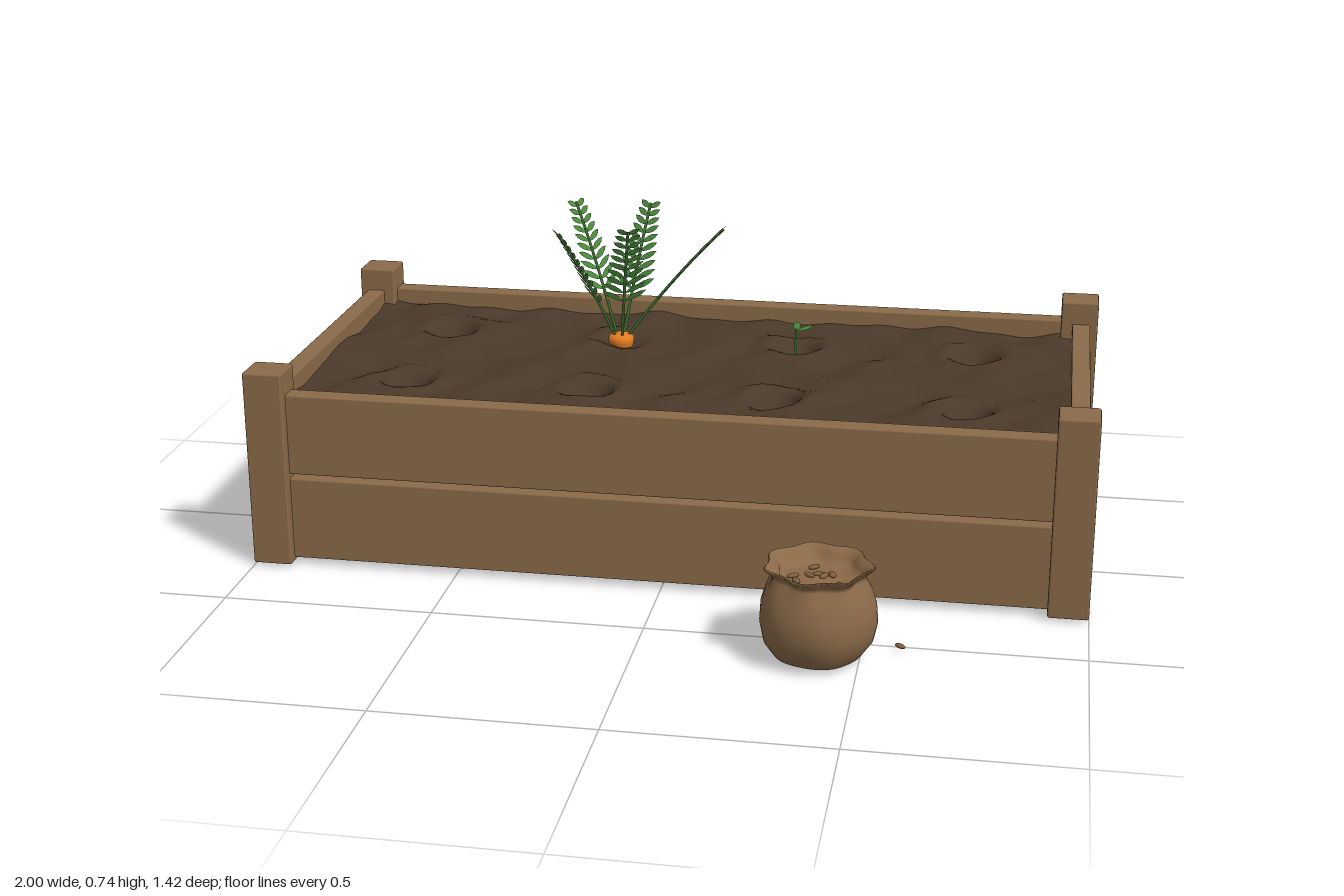
import * as THREE from 'three';
import { mergeGeometries, mergeVertices } from 'three/addons/utils/BufferGeometryUtils.js';
import { RoundedBoxGeometry } from 'three/addons/geometries/RoundedBoxGeometry.js';

const flat = (name, color, side = THREE.FrontSide) => {
  const m = new THREE.MeshStandardMaterial({ color, side });
  m.name = name;
  return m;
};

const V = (x, y, z) => new THREE.Vector3(x, y, z);
const COLS = [-0.69, -0.23, 0.23, 0.69];
const ROWS = [-0.42, 0];
const SOIL_Y = 0.395;

// Lumpy soil height with a rimmed planting hole at each grid spot
function soilHeight(x, z) {
  let y = SOIL_Y
    + 0.006 * Math.sin(9 * x + 3 * Math.sin(5 * z)) * Math.cos(8 * z + 1)
    + 0.004 * Math.sin(23 * x + 11 * z) + 0.003 * Math.sin(31 * z - 17 * x)
    + 0.003 * Math.cos(41 * x + 2 * Math.sin(19 * z));
  for (const hx of COLS) for (const hz of ROWS) {
    const d = Math.hypot(x - hx, z - hz);
    const planted = hx === -0.23 && hz === -0.42;
    y -= (planted ? 0.01 : 0.045) * Math.exp(-((d / 0.05) ** 4));
    y += 0.008 * Math.exp(-(((d - 0.085) / 0.025) ** 2));
  }
  return y;
}

// Pointed leaflet lying in XY, base at the origin and tip along +x
function leafletGeometry(length, width) {
  const s = new THREE.Shape();
  s.moveTo(0, 0);
  s.quadraticCurveTo(length * 0.55, width, length, 0);
  s.quadraticCurveTo(length * 0.55, -width, 0, 0);
  return new THREE.ShapeGeometry(s, 4);
}

// Stem tube plus paired leaflets from base to tip
function makeFrond(base, tip, leafMat, stemMat) {
  const frond = new THREE.Group();
  frond.name = 'frond';
  const mid = base.clone().lerp(tip, 0.5).add(V(0, 0.025, 0));
  const curve = new THREE.QuadraticBezierCurve3(base, mid, tip);
  const stem = new THREE.Mesh(new THREE.TubeGeometry(curve, 10, 0.004, 5), stemMat);
  stem.name = 'frondStem';
  const out = V(tip.x - base.x, 0, tip.z - base.z).normalize();
  const across = V(-out.z, 0, out.x);
  const leaves = [];
  const pairs = 10;
  for (let i = 0; i < pairs; i++) {
    const t = 0.32 + 0.64 * i / (pairs - 1);
    const p = curve.getPoint(t);
    const tan = curve.getTangent(t);
    const length = 0.068 - 0.034 * i / (pairs - 1);
    for (const s of [1, -1]) {
      const dir = across.clone().multiplyScalar(0.84 * s).addScaledVector(tan, 0.54).normalize();
      const normal = V(0, 0, 0).crossVectors(tan, across).normalize();
      const side = V(0, 0, 0).crossVectors(normal, dir);
      const m = new THREE.Matrix4().makeBasis(dir, side, normal).setPosition(p);
      leaves.push(leafletGeometry(length, 0.016).applyMatrix4(m));
    }
  }
  const leafMesh = new THREE.Mesh(mergeGeometries(leaves), leafMat);
  leafMesh.name = 'frondLeaflets';
  frond.add(stem, leafMesh);
  return frond;
}

export function createModel() {
  const model = new THREE.Group();
  model.name = 'raisedGardenBed';
  const wood = flat('wood', 0x8b6b4a);
  const soilMat = flat('soil', 0x4a3a2a, THREE.DoubleSide);
  const leafMat = flat('leaf', 0x4a8a3c, THREE.DoubleSide);
  const stemMat = flat('stem', 0x3d7030);
  const orange = flat('carrotOrange', 0xe67e22);
  const cloth = flat('sackCloth', 0x8b6a48, THREE.DoubleSide);
  const seedMat = flat('seed', 0x80603e);

  const add = (name, geo, mat, x = 0, y = 0, z = 0, parent = model) => {
    const mesh = new THREE.Mesh(geo, mat);
    mesh.name = name;
    mesh.position.set(x, y, z);
    parent.add(mesh);
    return mesh;
  };

  // Corner posts and two courses of boards
  for (const x of [-0.9525, 0.9525]) for (const z of [-0.665, 0.258]) {
    add('cornerPost', new RoundedBoxGeometry(0.095, 0.485, 0.095, 1, 0.005), wood, x, 0.2525, z);
  }
  for (const [y, h] of [[0.122, 0.205], [0.336, 0.2]]) {
    add('frontBoard', new RoundedBoxGeometry(1.83, h, 0.05, 1, 0.004), wood, 0, y, 0.254);
    add('backBoard', new RoundedBoxGeometry(1.83, h, 0.05, 1, 0.004), wood, 0, y, -0.67);
    for (const s of [1, -1]) {
      add('sideBoard', new RoundedBoxGeometry(0.046, h, 0.85, 1, 0.004), wood, s * 0.957, y, -0.205);
    }
  }

  // Soil sheet
  const soil = new THREE.PlaneGeometry(1.87, 0.885, 130, 64).rotateX(-Math.PI / 2).translate(0, 0, -0.208);
  const sp = soil.attributes.position;
  for (let i = 0; i < sp.count; i++) sp.setY(i, soilHeight(sp.getX(i), sp.getZ(i)));
  soil.computeVertexNormals();
  add('soil', soil, soilMat);

  // Carrot with its crown of fronds
  const plant = new THREE.Group();
  plant.name = 'carrotPlant';
  plant.position.set(-0.23, 0, -0.42);
  model.add(plant);
  const root = [[0, 0.275], [0.008, 0.29], [0.022, 0.345], [0.034, 0.39], [0.034, 0.403], [0.024, 0.411], [0, 0.412]];
  add('carrotRoot', new THREE.LatheGeometry(root.map(p => new THREE.Vector2(...p)), 16), orange, 0, 0, 0, plant);
  const reach = [[0.27, 0.705], [0.165, 0.725], [0.17, 0.735], [0.175, 0.7], [0.165, 0.73]];
  reach.forEach(([r, y], i) => {
    const a = i * Math.PI * 2 / 5, c = Math.cos(a), s = -Math.sin(a);
    plant.add(makeFrond(V(0.014 * c, 0.4, 0.014 * s), V(r * c, y, r * s), leafMat, stemMat));
  });

  // Young sprout
  const sprout = new THREE.Group();
  sprout.name = 'sprout';
  sprout.position.set(0.23, 0, -0.425);
  model.add(sprout);
  add('sproutStem', new THREE.CylinderGeometry(0.003, 0.004, 0.1, 6), stemMat, 0, 0.395, 0, sprout);
  for (const [turn, lift, len] of [[0, 0.35, 0.05], [Math.PI, 0.45, 0.046], [1.3, 1.1, 0.025]]) {
    const leaf = leafletGeometry(len, 0.02).rotateX(-Math.PI / 2 + 0.3).rotateZ(lift).rotateY(turn);
    add('sproutLeaf', leaf, leafMat, 0, 0.44, 0, sprout);
  }

  // Seed sack: turned profile, with soft folds and a scalloped lip
  const sack = new THREE.Group();
  sack.name = 'seedSack';
  sack.position.set(0.405, 0, 0.575);
  model.add(sack);
  const profile = [[0, 0.004], [0.07, 0.003], [0.098, 0.016], [0.122, 0.05], [0.131, 0.09], [0.128, 0.13],
    [0.116, 0.17], [0.1, 0.196], [0.1, 0.206], [0.118, 0.222], [0.114, 0.226], [0.092, 0.208], [0.088, 0.19], [0.05, 0.192], [0, 0.196]];
  const turned = new THREE.LatheGeometry(profile.map(p => new THREE.Vector2(...p)), 56);
  turned.deleteAttribute('uv');
  turned.deleteAttribute('normal');
  const body = mergeVertices(turned, 1e-5);
  const bp = body.attributes.position;
  for (let i = 0; i < bp.count; i++) {
    const x = bp.getX(i), y = bp.getY(i), z = bp.getZ(i), a = Math.atan2(z, x);
    const lip = THREE.MathUtils.smoothstep(y, 0.15, 0.21);
    const k = 1 + 0.02 * (1 - lip) * Math.cos(5 * a + 9 * y) + 0.06 * lip * Math.cos(7 * a);
    bp.setXYZ(i, x * k, y, z * k);
  }
  body.computeVertexNormals();
  add('sackBody', body, cloth, 0, 0, 0, sack);

  // Seeds in the sack and one dropped beside it
  const seedGeo = new THREE.SphereGeometry(1, 10, 6).scale(0.015, 0.005, 0.008);
  const seeds = [[-0.015, -0.045, 0.8], [0, -0.008, 0.2], [0.03, -0.008, 1.9], [-0.02, 0.0, 2.4], [-0.055, 0.01, 0.6],
    [0.05, 0.045, 1.6], [-0.045, 0.035, 2.1], [0.012, 0.0, 1.1]];
  for (const [x, z, r] of seeds) add('seed', seedGeo, seedMat, x, 0.197, z, sack).rotation.y = r;
  add('droppedSeed', seedGeo, seedMat, 0.585, 0.013, 0.515).rotation.y = -0.7;

  return model;
}
